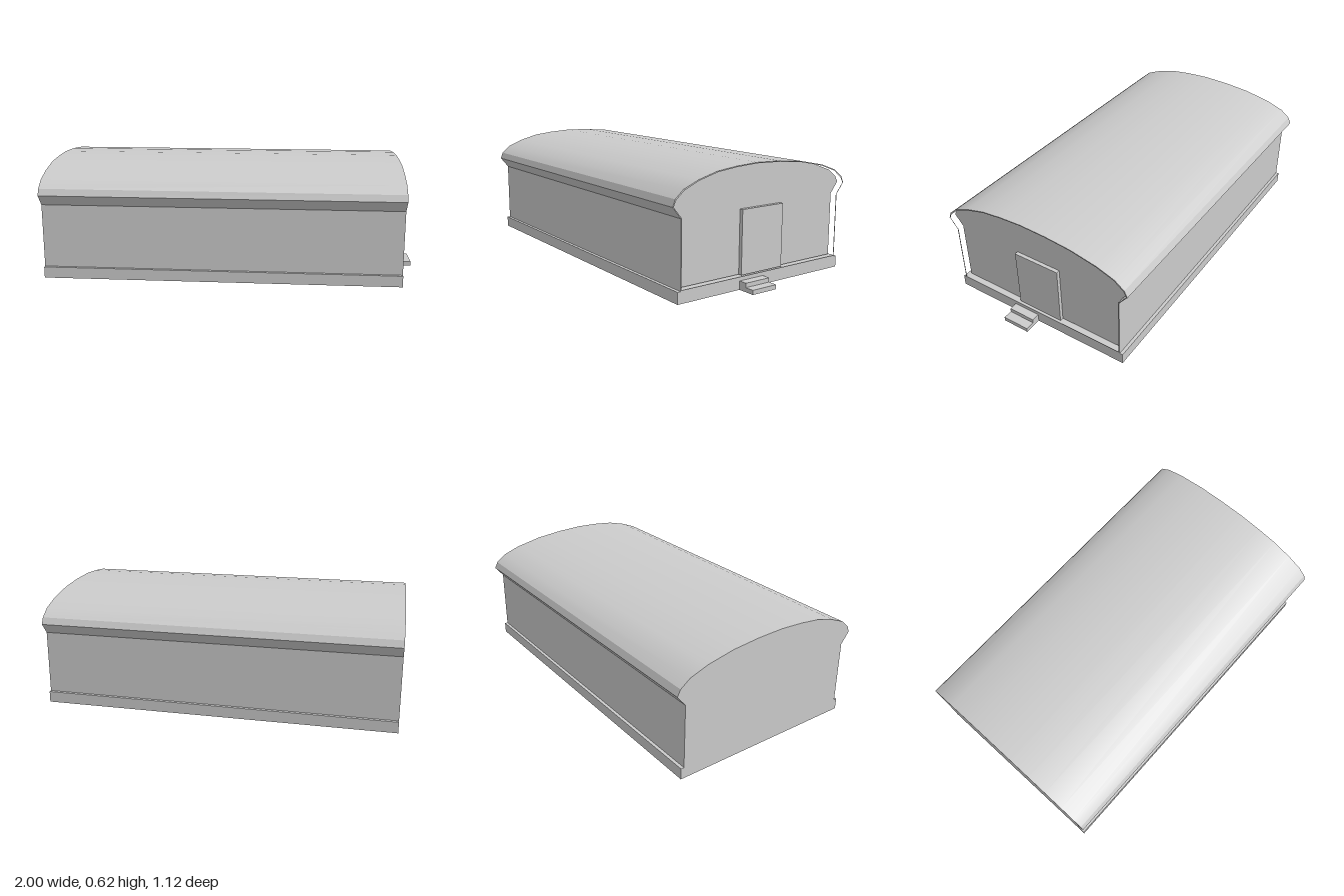
import * as THREE from 'three';
import { toCreasedNormals } from 'three/addons/utils/BufferGeometryUtils.js';

export function createModel() {
  const group = new THREE.Group();
  const material = new THREE.MeshStandardMaterial({ color: 0xcccccc });

  const add = (name, geometry) => {
    const mesh = new THREE.Mesh(geometry, material);
    mesh.name = name;
    group.add(mesh);
  };
  // box given by its lower and upper limits on each axis
  const box = (name, x0, x1, y0, y1, z0, z1) =>
    add(name, new THREE.BoxGeometry(x1 - x0, y1 - y0, z1 - z0)
      .translate((x0 + x1) / 2, (y0 + y1) / 2, (z0 + z1) / 2));
  // cross-section drawn as [z, y], extruded along x
  const extrudeX = (name, shape, x0, x1) =>
    add(name, toCreasedNormals(new THREE.ExtrudeGeometry(shape, { depth: x1 - x0, bevelEnabled: false })
      .rotateY(Math.PI / 2).translate(x0, 0, 0), 0.4));

  const back = -1, front = 0.905, wallFace = 0.87, baseTop = 0.06;

  // hall cross-section: wall, flared eave, shallow arch
  const arch = [
    [0.56, 0.458], [0.546, 0.493], [0.5, 0.533], [0.415, 0.568], [0.305, 0.597],
    [0.19, 0.61], [0.06, 0.617], [-0.09, 0.612], [-0.24, 0.598], [-0.39, 0.568],
    [-0.49, 0.533], [-0.543, 0.493], [-0.56, 0.458],
  ];
  const outline = [[0.513, baseTop], [0.513, 0.4], ...arch, [-0.513, 0.4], [-0.513, baseTop]];
  const toPoints = (list) => list.map(([z, y]) => new THREE.Vector2(-z, y));
  const inner = outline.map(([z, y]) =>
    [z - Math.sign(z) * 0.006 * Math.min(1, Math.abs(z) / 0.5), y > 0.47 ? y - 0.005 : y === baseTop ? 0.065 : y]);

  // thin wall and roof skin, running past the recessed entrance wall
  const skin = new THREE.Shape(toPoints(outline));
  skin.holes.push(new THREE.Path(toPoints(inner)));
  extrudeX('wallAndRoofShell', skin, back, front);
  extrudeX('endWalls', new THREE.Shape(toPoints(inner)), back, wallFace);

  box('foundation', back, front, 0, baseTop, -0.53, 0.53);
  box('door', wallFace - 0.01, wallFace + 0.02, 0.065, 0.393, -0.135, 0.132);

  // entrance steps
  box('lowerStep', front, 1, 0, 0.023, 0.003, 0.155);
  box('upperStep', front, 0.95, 0.023, 0.045, 0.003, 0.155);

  return group;
}
